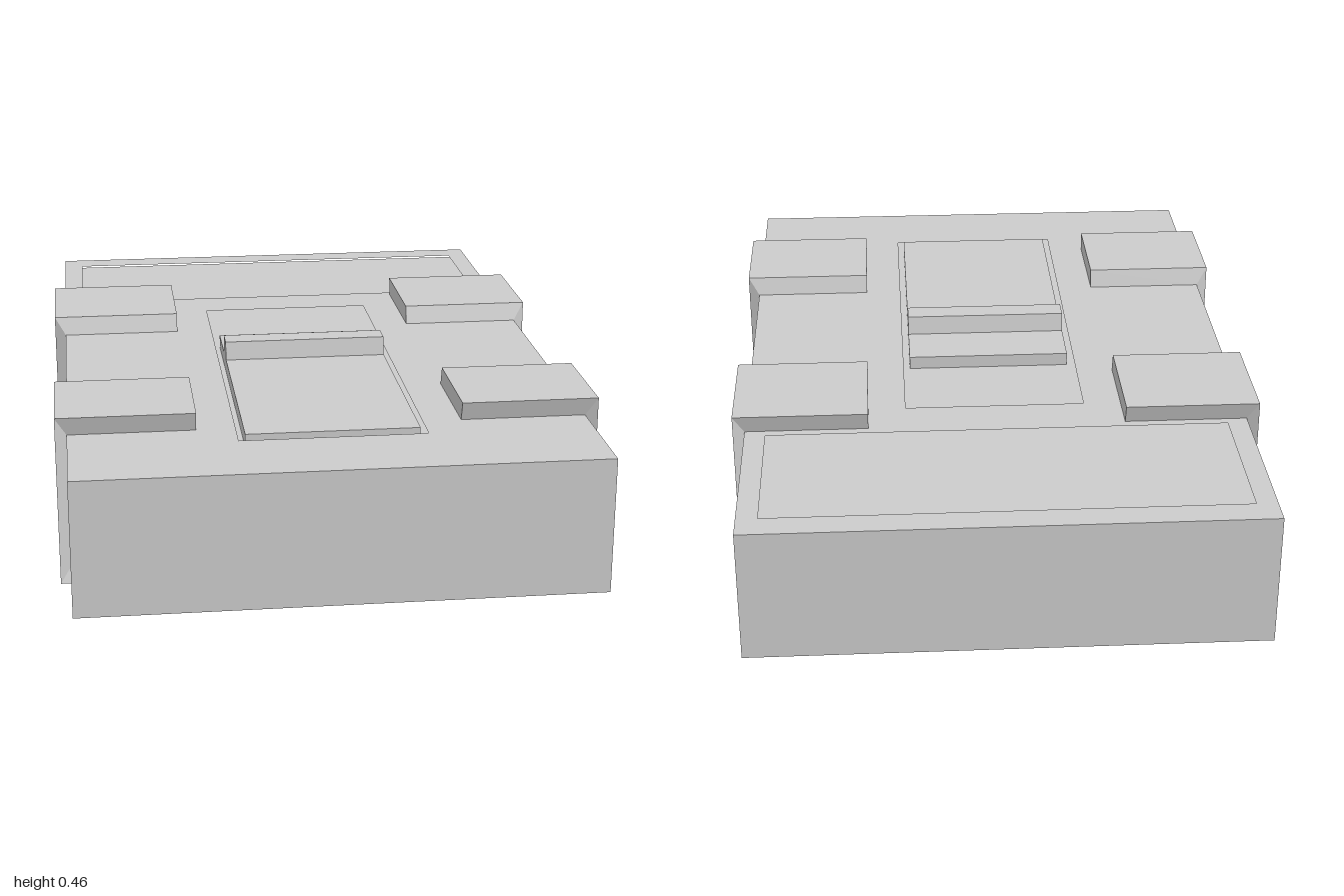
import * as THREE from 'three';

const material = new THREE.MeshStandardMaterial({ color: 0xcccccc, flatShading: true });

// Body extents and pocket floor
const HALF_W = 0.665, HALF_L = 1, BOTTOM = 0.045, TOP = 0.4, FLOOR = 0.375;

function add(parent, name, geometry) {
  const mesh = new THREE.Mesh(geometry, material);
  mesh.name = name;
  parent.add(mesh);
  return mesh;
}

function box(parent, name, [x0, x1], [y0, y1], [z0, z1]) {
  const mesh = add(parent, name, new THREE.BoxGeometry(x1 - x0, y1 - y0, z1 - z0));
  mesh.position.set((x0 + x1) / 2, (y0 + y1) / 2, (z0 + z1) / 2);
  return mesh;
}

// Rectangle outline in plan, symmetric about x = 0 (shape y is -z)
function planRect(Type, halfW, z0, z1) {
  return new Type([[-halfW, z0], [halfW, z0], [halfW, z1], [-halfW, z1]]
    .map(([x, z]) => new THREE.Vector2(x, -z)));
}

// C-shaped bracket wrapped round one side; its inner edges are shifted along z,
// so one end slopes out and the other is undercut
function bracketGeometry(side, z0, z1, shift) {
  const points = [
    [0.34, 0.45], [0.695, 0.45], [0.695, 0], [0.34, 0],
    [0.34, BOTTOM], [HALF_W, BOTTOM], [HALF_W, TOP], [0.34, TOP],
  ].map(([x, y]) => new THREE.Vector2(side * x, y));
  const geometry = new THREE.ExtrudeGeometry(new THREE.Shape(points), { depth: z1 - z0, bevelEnabled: false });
  geometry.translate(0, 0, z0);
  const p = geometry.attributes.position;
  for (let i = 0; i < p.count; i++) {
    const x = Math.abs(p.getX(i)), y = p.getY(i);
    const inner = x < 0.68 && y > 0.02 && y < 0.43;
    if (inner) p.setZ(i, p.getZ(i) + shift);
  }
  geometry.computeVertexNormals();
  return geometry;
}

export function createModel() {
  const model = new THREE.Group();
  model.name = 'slabWithBrackets';

  // Main body: lower block and a top plate with two shallow pockets
  const body = new THREE.Group();
  body.name = 'body';
  model.add(body);
  box(body, 'lowerBlock', [-HALF_W, HALF_W], [BOTTOM, FLOOR], [-HALF_L, HALF_L]);
  const plate = planRect(THREE.Shape, HALF_W, -HALF_L, HALF_L);
  plate.holes.push(
    planRect(THREE.Path, 0.61, -0.925, -0.505), // rear panel pocket
    planRect(THREE.Path, 0.24, -0.37, 0.77),    // slider track
  );
  const plateGeometry = new THREE.ExtrudeGeometry(plate, { depth: TOP - FLOOR, bevelEnabled: false });
  plateGeometry.rotateX(-Math.PI / 2);
  plateGeometry.translate(0, FLOOR, 0);
  add(body, 'pocketedTopPlate', plateGeometry);

  // Slider plate with a tapered grip bar
  const slider = new THREE.Group();
  slider.name = 'slider';
  model.add(slider);
  box(slider, 'sliderPlate', [-0.222, 0.222], [FLOOR, 0.41], [-0.083, 0.753]);
  const grip = new THREE.Shape([[0.068, 0.41], [0.15, 0.41], [0.142, 0.46], [0.078, 0.46]]
    .map(([z, y]) => new THREE.Vector2(-z, y)));
  const gripGeometry = new THREE.ExtrudeGeometry(grip, { depth: 0.444, bevelEnabled: false });
  gripGeometry.translate(0, 0, -0.222);
  gripGeometry.rotateY(Math.PI / 2);
  add(slider, 'gripBar', gripGeometry);

  // Four side brackets
  for (const [sideName, side] of [['left', 1], ['right', -1]]) {
    add(model, sideName + 'FrontBracket', bracketGeometry(side, 0.405, 0.695, -0.015));
    add(model, sideName + 'RearBracket', bracketGeometry(side, -0.495, -0.183, 0.015));
  }

  return model;
}
